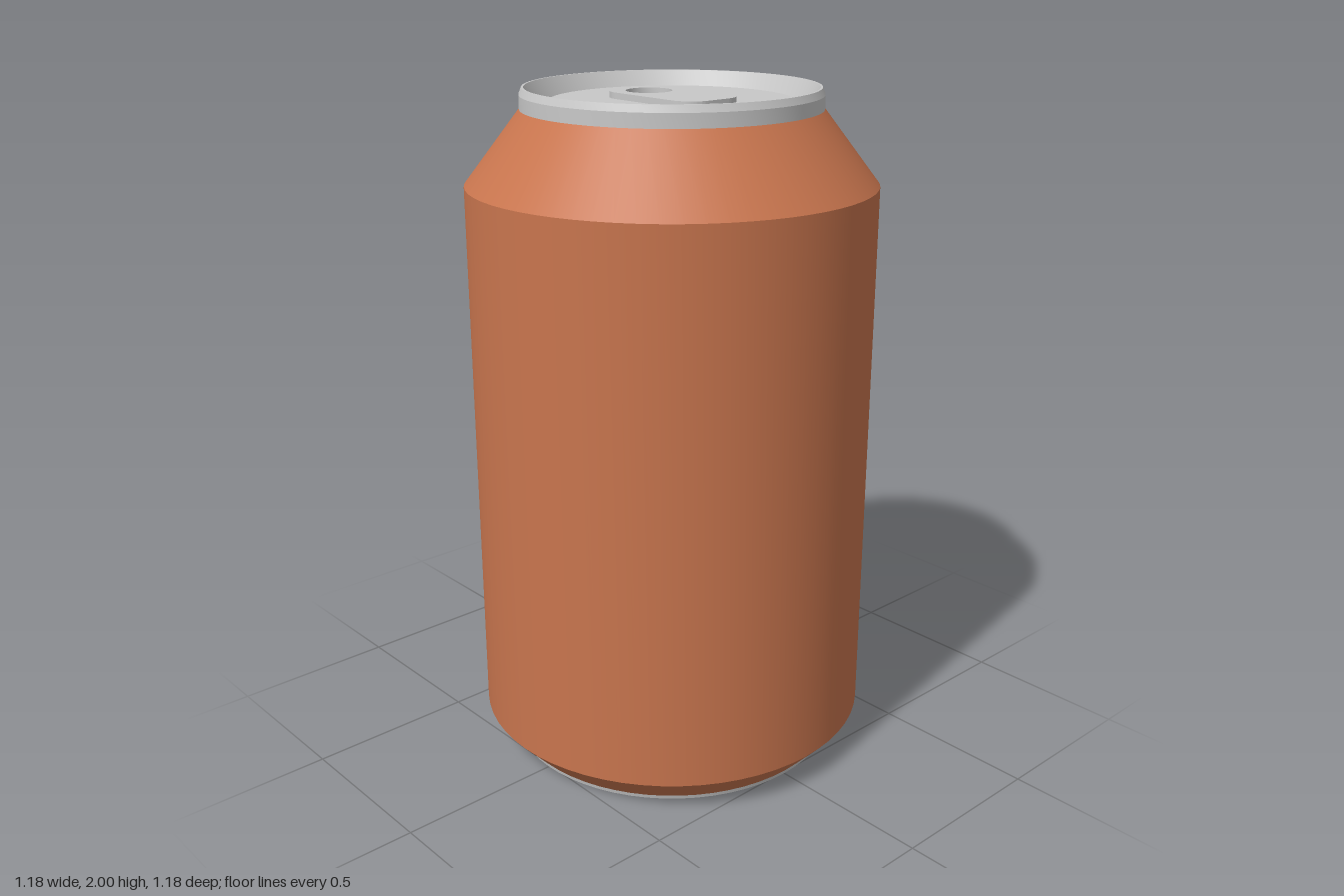
import * as THREE from 'three';
import { toCreasedNormals } from 'three/addons/utils/BufferGeometryUtils.js';

const SEGMENTS = 64;

const copper = new THREE.MeshStandardMaterial({ color: 0xc8754e });
copper.name = 'copper paint';
const silver = new THREE.MeshStandardMaterial({ color: 0xc8c8c8 });
silver.name = 'silver metal';

// Revolve an [radius, height] profile, keeping its corners sharp
function turned(name, profile, material) {
  const points = profile.map(([r, y]) => new THREE.Vector2(r, y));
  const geometry = toCreasedNormals(new THREE.LatheGeometry(points, SEGMENTS), 0.3);
  const mesh = new THREE.Mesh(geometry, material);
  mesh.name = name;
  return mesh;
}

// Rounded pull tab with a round finger hole towards the back
function pullTab() {
  const w = 0.107, l = 0.19, r = 0.07;
  const shape = new THREE.Shape();
  shape.absarc(w - r, l - r, r, 0, Math.PI / 2);
  shape.absarc(r - w, l - r, r, Math.PI / 2, Math.PI);
  shape.absarc(r - w, r - l, r, Math.PI, Math.PI * 1.5);
  shape.absarc(w - r, r - l, r, Math.PI * 1.5, Math.PI * 2);
  shape.closePath();
  const hole = new THREE.Path();
  hole.absarc(0, 0.098, 0.067, 0, Math.PI * 2, true);
  shape.holes.push(hole);
  const geometry = new THREE.ExtrudeGeometry(shape, { depth: 0.018, bevelEnabled: false, curveSegments: 16 });
  geometry.rotateX(-Math.PI / 2);
  const mesh = new THREE.Mesh(toCreasedNormals(geometry, 0.5), silver);
  mesh.name = 'pullTab';
  mesh.position.y = 1.96;
  return mesh;
}

export function createModel() {
  const can = new THREE.Group();
  can.name = 'drinkCan';

  // Painted body: recessed underside, lower chamfer, wall, shoulder and flat top
  can.add(turned('body', [
    [0, 0.04], [0.435, 0.04], [0.49, 0.012], [0.51, 0.012],
    [0.592, 0.1], [0.592, 1.73], [0.43, 1.94], [0, 1.94],
  ], copper));

  // Thin metal foot around the recess
  can.add(turned('baseRing', [
    [0.49, 0.012], [0.495, 0], [0.507, 0], [0.51, 0.012],
  ], silver));

  // Raised lip with a sloping inner wall
  can.add(turned('topRim', [
    [0.43, 1.94], [0.43, 1.98], [0.422, 2], [0.416, 2], [0.384, 1.94],
  ], silver));

  // Bevelled lid panel inside the lip
  can.add(turned('lid', [
    [0.376, 1.94], [0.35, 1.96], [0, 1.96],
  ], silver));

  can.add(pullTab());
  return can;
}
